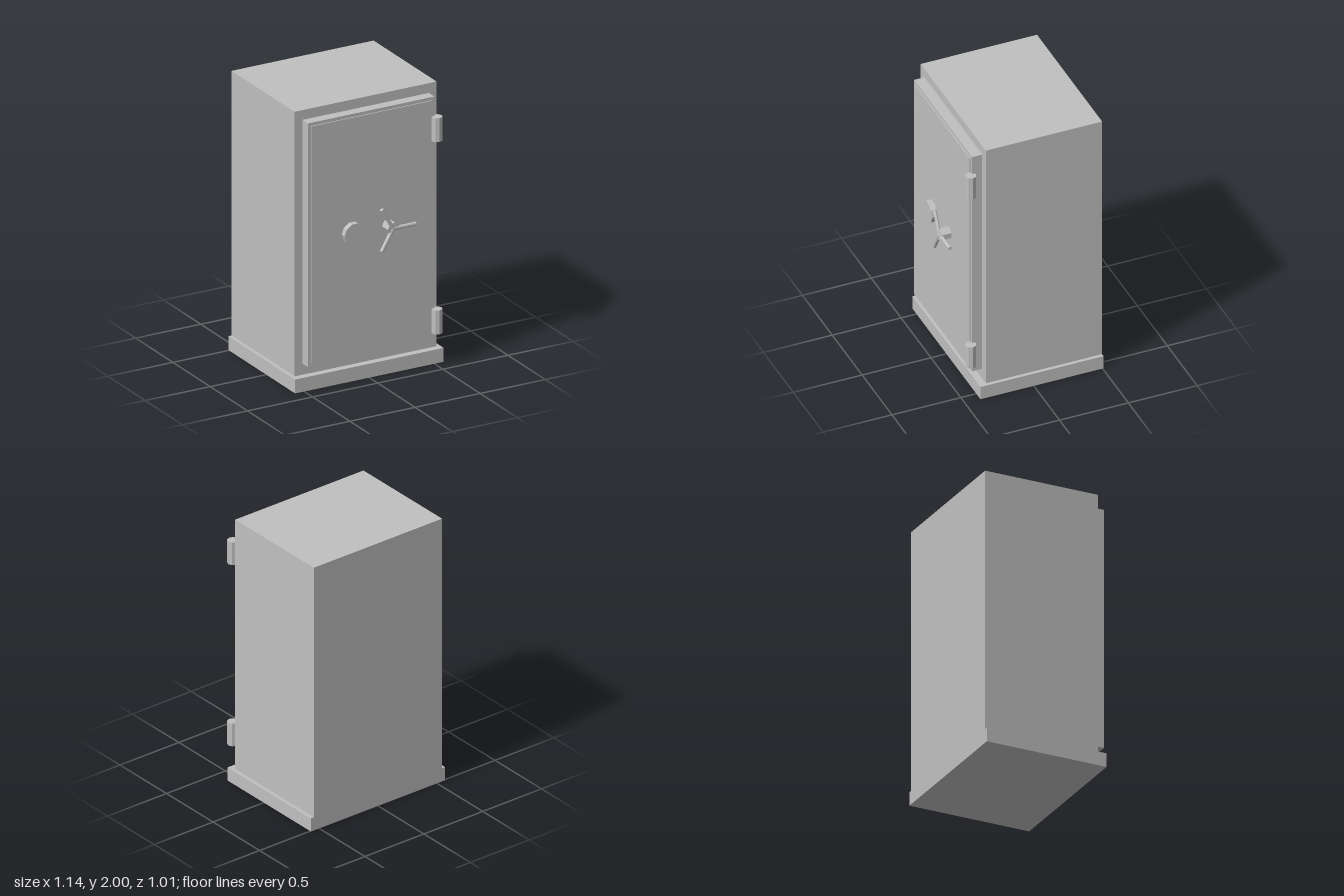
import * as THREE from 'three';

export function createModel() {
  const group = new THREE.Group();
  const steel = new THREE.MeshStandardMaterial({ color: 0xc0c0c0 });
  steel.name = 'steel grey';
  steel.flatShading = true;

  const add = (name, geometry, parent = group) => {
    const mesh = new THREE.Mesh(geometry, steel);
    mesh.name = name;
    parent.add(mesh);
    return mesh;
  };

  // Box given by its limits along y and z, centred on x
  const box = (name, width, y0, y1, z0, z1) =>
    add(name, new THREE.BoxGeometry(width, y1 - y0, z1 - z0))
      .position.set(0, (y0 + y1) / 2, (z0 + z1) / 2);

  // Cabinet, plinth and door with its thin raised panel
  box('plinth', 1.14, 0, 0.1, -0.507, 0.388);
  box('cabinet', 1.09, 0.1, 2, -0.507, 0.338);
  box('door', 0.97, 0.18, 1.93, 0.338, 0.412);
  box('doorPanel', 0.925, 0.203, 1.907, 0.412, 0.42);

  // Hinge barrels
  for (const [name, y] of [['lowerHinge', 0.325], ['upperHinge', 1.705]]) {
    add(name, new THREE.CylinderGeometry(0.039, 0.039, 0.172, 8))
      .position.set(0.496, y, 0.426);
  }

  // Combination dial, with a corner pointing sideways
  const dial = new THREE.CylinderGeometry(0.079, 0.079, 0.043, 10);
  dial.rotateY(Math.PI / 2).rotateX(Math.PI / 2);
  add('combinationDial', dial).position.set(-0.152, 1.083, 0.4395);

  // Three-spoke handle on a short hub
  const handle = new THREE.Group();
  handle.name = 'handle';
  handle.position.set(0.123, 1.083, 0);
  group.add(handle);
  const hub = new THREE.CylinderGeometry(0.044, 0.044, 0.08, 7);
  hub.rotateY(-Math.PI / 2).rotateX(Math.PI / 2);
  add('handleHub', hub, handle).position.z = 0.458;
  for (let i = 0; i < 3; i++) {
    const spoke = new THREE.CylinderGeometry(0.0135, 0.0135, 0.174, 8);
    spoke.translate(0, 0.087, 0).rotateZ(-Math.PI / 2 + i * Math.PI * 2 / 3);
    add('handleSpoke', spoke, handle).position.z = 0.49;
  }
  return group;
}
